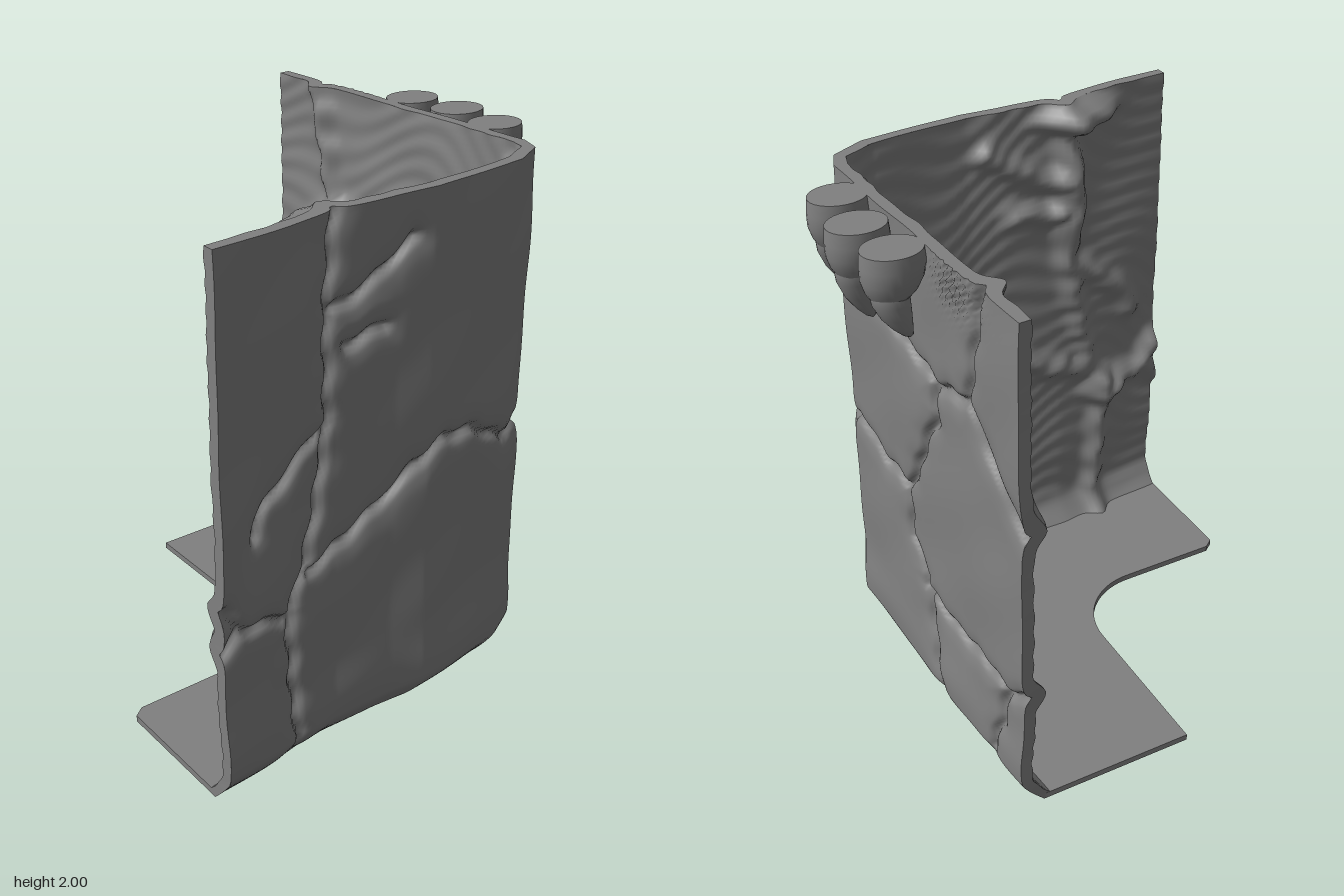
import * as THREE from 'three';
import { toCreasedNormals } from 'three/addons/utils/BufferGeometryUtils.js';

const H = 2, S0 = -0.84, S1 = 1.97, T = 0.045;

// Plan of the outer wall: [s, x, z]; s = x on the front, s = 1.2 - z on the side
const PLAN = [
  [-0.84, -0.84, 0.74], [-0.55, -0.55, 0.715], [-0.35, -0.35, 0.69], [-0.1, -0.1, 0.69], [0.05, 0.05, 0.7],
  [0.3, 0.3, 0.67], [0.46, 0.46, 0.65], [0.59, 0.59, 0.58], [0.7, 0.625, 0.5], [0.9, 0.62, 0.3],
  [1.2, 0.605, 0], [1.5, 0.59, -0.3], [1.97, 0.565, -0.77],
];

// Cracks as [s, y] polylines: front, then front running round the corner, then side
const side = pts => pts.map(([z, y]) => [1.2 - z, y]);
const CRACKS = [
  [[-0.35, 2], [-0.38, 1.7], [-0.38, 1.3], [-0.55, 1.18], [-0.65, 1.1], [-0.7, 1.0]],
  [[-0.37, 1.67], [-0.2, 1.72], [-0.03, 1.84]],
  [[-0.38, 1.28], [-0.42, 1.05], [-0.48, 0.8], [-0.55, 0.65], [-0.53, 0.3], [-0.5, 0]],
  [[-0.84, 0.78], [-0.75, 0.68], [-0.55, 0.64]],
  [[-0.84, 0.62], [-0.77, 0.69]],
  [[-0.46, 0.77], [-0.3, 0.83], [-0.15, 0.9], [0, 1.02], [0.15, 1.08], [0.3, 1.06], [0.45, 0.97],
    [0.6, 0.97], [0.8, 0.97], [0.95, 0.91], [1.12, 0.9]],
  [[-0.3, 1.54], [-0.13, 1.57]],
  side([[0.22, 1.6], [0, 1.53], [-0.2, 1.48], [-0.43, 1.54], [-0.6, 1.37], [-0.77, 1.21]]),
  side([[-0.43, 1.54], [-0.47, 1.75], [-0.52, 2]]),
  side([[-0.18, 1.48], [-0.19, 1.35], [-0.1, 1.2], [0, 1], [0.07, 0.9], [0.06, 0.68], [-0.06, 0.58],
    [-0.12, 0.3], [-0.2, 0]]),
  side([[-0.06, 0.53], [-0.3, 0.48], [-0.55, 0.49], [-0.65, 0.47], [-0.77, 0.52]]),
  side([[-0.64, 0.47], [-0.61, 0.3], [-0.55, 0.13]]),
];

// Knobs on the inner face: [s, y, half length, half height, bulge]
const KNOBS = [
  [-0.42, 1.93, 0.17, 0.05, 0.1], [0.65, 1.9, 0.09, 0.05, 0.07], [0.5, 1.0, 0.12, 0.07, 0.07],
  [1.02, 0.93, 0.08, 0.07, 0.05], [1.4, 1.5, 0.08, 0.07, 0.05], [-0.37, 1.6, 0.07, 0.2, 0.05],
  [-0.55, 0.66, 0.1, 0.08, 0.05], [1.26, 0.5, 0.08, 0.1, 0.04],
];

const gauss = t => Math.exp(-t * t);

function plan(s) {
  s = Math.min(S1, Math.max(S0, s));
  let i = 0;
  while (i < PLAN.length - 2 && s > PLAN[i + 1][0]) i++;
  const a = PLAN[i], b = PLAN[i + 1], t = (s - a[0]) / (b[0] - a[0]);
  return [a[1] + (b[1] - a[1]) * t, a[2] + (b[2] - a[2]) * t];
}

function crackDistance(s, y) {
  let best = 9;
  const ws = s + 0.008 * Math.sin(y * 37), wy = y + 0.008 * Math.sin(s * 41);
  for (const line of CRACKS) {
    for (let i = 0; i < line.length - 1; i++) {
      const [ax, ay] = line[i], dx = line[i + 1][0] - ax, dy = line[i + 1][1] - ay;
      const t = Math.min(1, Math.max(0, ((ws - ax) * dx + (wy - ay) * dy) / (dx * dx + dy * dy)));
      best = Math.min(best, Math.hypot(ws - ax - t * dx, wy - ay - t * dy));
    }
  }
  return best;
}

// Broad stone relief, swelling low down and tucked in at the foot
function relief(s, y) {
  const lumps = 0.006 * Math.sin(5 * s + 3 * y) * Math.sin(4 * y + 1) + 0.004 * Math.sin(13 * s - 6 * y) * Math.sin(9 * y + 2 * s);
  const foot = Math.max(0, 1 - y / 0.12);
  return lumps + 0.02 * (1 - y / H) + 0.012 * gauss((y - 0.2) / 0.12) - 0.085 * foot * foot ** 0.3;
}

function place(s, y, d) {
  const [x, z] = plan(s), a = plan(s - 0.06), b = plan(s + 0.06);
  const tx = b[0] - a[0], tz = b[1] - a[1], l = Math.hypot(tx, tz);
  return [Math.max(-0.84, x - tz / l * d), y, Math.max(-0.77, z + tx / l * d)];
}

function outer(s, y) {
  const c = crackDistance(s, y);
  let d = relief(s, y) - 0.026 * gauss(c / 0.016) - 0.012 * gauss(c / 0.05);
  // rough torn patch beside the claws
  const patch = gauss((s - 1.58) / 0.12) * gauss((y - 1.93) / 0.08);
  d += 0.014 * patch * Math.sin(s * 173 + y * 61) * Math.sin(y * 211 - s * 47);
  return place(s, y, d);
}

function inner(s, y) {
  const c = crackDistance(s, y);
  let d = relief(s, y) - T - 0.05 * gauss(c / 0.045);
  for (const [ks, ky, w, h, b] of KNOBS) d -= b * gauss(((s - ks) / w) ** 2 + ((y - ky) / h) ** 2);
  // swirling grain
  d += 0.003 * Math.sin(65 * (y + 0.12 * Math.sin(4 * s) + 0.06 * Math.sin(9 * s + 4 * y)));
  return place(s, y, d);
}

// Grid surface: fn(u, v) gives a point, u and v in 0..1
function grid(nu, nv, fn) {
  const pos = [], idx = [], w = nu + 1;
  for (let j = 0; j <= nv; j++) for (let i = 0; i <= nu; i++) pos.push(...fn(i / nu, j / nv));
  for (let j = 0; j < nv; j++) {
    for (let i = 0; i < nu; i++) {
      const a = j * w + i;
      idx.push(a, a + 1, a + w + 1, a, a + w + 1, a + w);
    }
  }
  const g = new THREE.BufferGeometry();
  g.setAttribute('position', new THREE.Float32BufferAttribute(pos, 3));
  g.setIndex(idx);
  g.computeVertexNormals();
  return g;
}

// Lofted ellipses: rings of [y, centre x, radius x, radius z], from the top down
function loft(rings) {
  const g = grid(28, rings.length - 1, (u, v) => {
    const [y, cx, rx, rz] = rings[Math.round(v * (rings.length - 1))], a = -u * Math.PI * 2;
    return [cx + rx * Math.cos(a), y, rz * Math.sin(a)];
  });
  g.index.array.reverse();
  return toCreasedNormals(g, 0.9);
}

export function createModel() {
  const model = new THREE.Group();
  const stone = new THREE.MeshStandardMaterial({ color: 0x808080, side: THREE.DoubleSide });
  stone.name = 'grey stone';
  const add = (name, geo, parent = model) => {
    const m = new THREE.Mesh(geo, stone);
    m.name = name;
    parent.add(m);
    return m;
  };
  const sAt = u => S0 + (S1 - S0) * u;
  const mix = (a, b, t) => a.map((v, i) => v + (b[i] - v) * t);

  // Thin wall shell
  add('outerWall', grid(230, 160, (u, v) => outer(sAt(u), v * H)));
  add('innerWall', grid(150, 110, (u, v) => inner(sAt(1 - u), v * H)));
  add('topRim', grid(230, 1, (u, v) => mix(outer(sAt(u), H), inner(sAt(u), H), v)));
  add('frontWallEnd', grid(1, 110, (u, v) => mix(inner(S0, v * H), outer(S0, v * H), u)));
  add('sideWallEnd', grid(1, 110, (u, v) => mix(outer(S1, v * H), inner(S1, v * H), u)));

  // L-shaped floor with a rounded inner corner
  const shape = new THREE.Shape();
  for (let i = 0; i <= 60; i++) {
    const s = sAt(i / 60), [x, , z] = place(s, 0, relief(s, 0) - 0.004);
    if (i) shape.lineTo(x, z); else shape.moveTo(x, z);
  }
  shape.lineTo(-0.11, -0.77);
  shape.absarc(-0.39, -0.14, 0.28, 0, Math.PI / 2, false);
  shape.lineTo(-0.8, 0.14);
  shape.lineTo(-0.84, 0.17);
  const floor = new THREE.ExtrudeGeometry(shape, { depth: 0.025, bevelEnabled: false, curveSegments: 16 });
  floor.rotateX(Math.PI / 2).translate(0, 0.025, 0);
  add('floor', floor);

  // Three clawed toes hooked over the top of the side wall
  const toeRings = [[2, 0.7, 0, 0], [2, 0.7, 0.105, 0.088], [1.95, 0.7, 0.11, 0.092], [1.9, 0.705, 0.105, 0.085],
    [1.86, 0.71, 0.088, 0.072], [1.835, 0.715, 0.068, 0.058], [1.83, 0.715, 0, 0]];
  const clawRings = [[1.9, 0.72, 0.05, 0.045], [1.85, 0.722, 0.066, 0.058], [1.8, 0.718, 0.064, 0.055],
    [1.74, 0.705, 0.052, 0.043], [1.69, 0.688, 0.035, 0.028], [1.655, 0.672, 0.018, 0.014], [1.64, 0.665, 0, 0]];
  [[0.275, 0, 0, 0.12], [0.05, 0.025, 0, 0.03], [-0.165, -0.005, 0.04, -0.1]].forEach(([z, dx, lift, lean]) => {
    const toe = new THREE.Group();
    toe.name = 'toe';
    toe.position.set(dx, 0, z);
    add('knuckle', loft(toeRings), toe);
    // claws lean slightly outwards, away from the middle toe
    const claw = loft(clawRings.map(([y, ...r]) => [y + lift * (1.9 - y) / 0.26, ...r]));
    const p = claw.attributes.position;
    for (let i = 0; i < p.count; i++) p.setZ(i, p.getZ(i) + lean * (1.9 - p.getY(i)));
    claw.deleteAttribute('normal');
    claw.computeVertexNormals();
    add('claw', toCreasedNormals(claw, 0.9), toe);
    model.add(toe);
  });
  return model;
}
